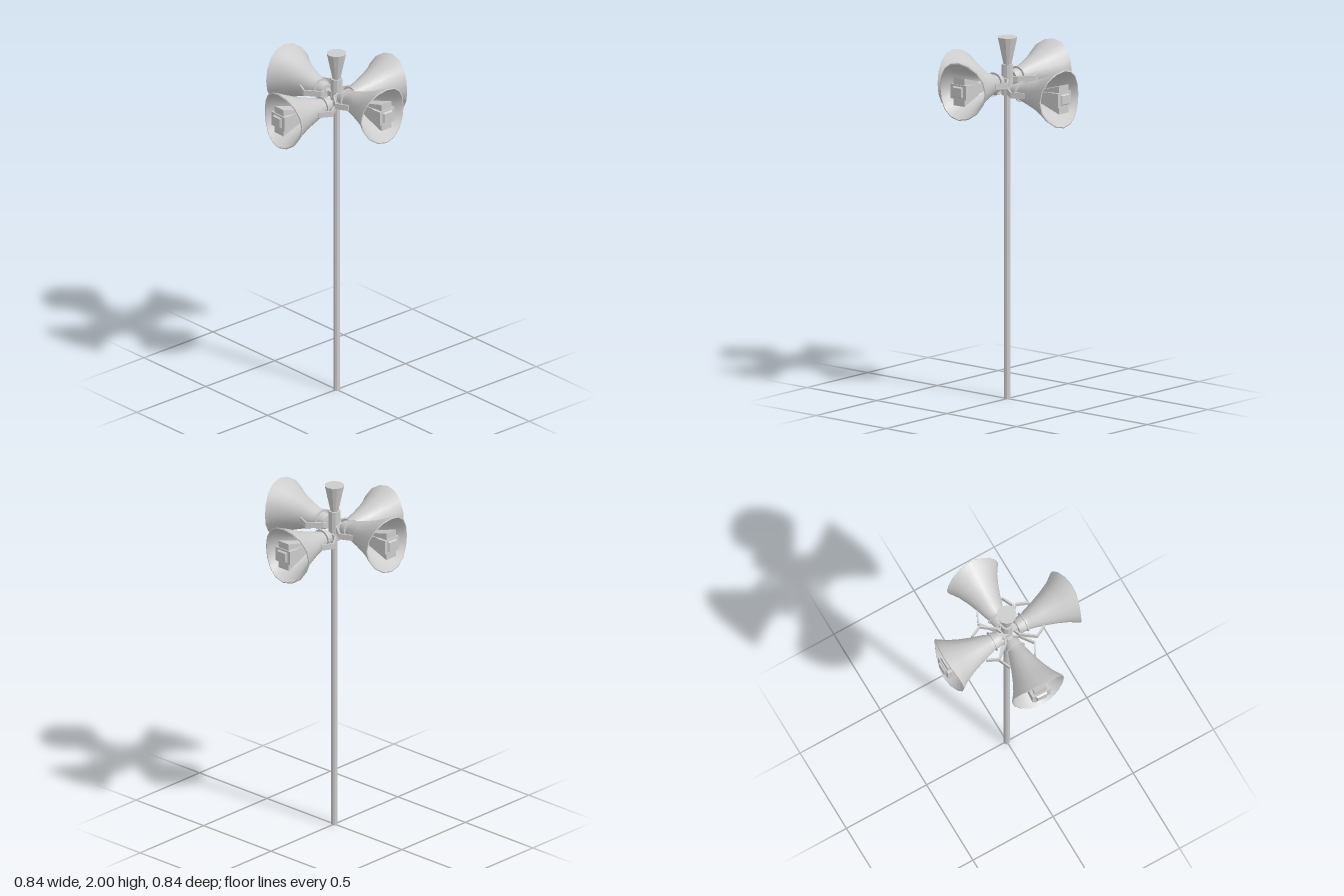
import * as THREE from 'three';
import { toCreasedNormals } from 'three/addons/utils/BufferGeometryUtils.js';

const grey = new THREE.MeshStandardMaterial({ color: 0xcccccc });

function part(name, geometry, crease = 0.6) {
  const mesh = new THREE.Mesh(toCreasedNormals(geometry, crease), grey);
  mesh.name = name;
  return mesh;
}

// Lathe a profile of [radius, z] points around the z axis
function lathe(profile, sides) {
  return new THREE.LatheGeometry(profile.map(([r, z]) => new THREE.Vector2(r, z)), sides)
    .rotateX(Math.PI / 2);
}

// Box running along z whose two ends have different half sizes
function taperedBox(z0, w0, h0, z1, w1, h1, shift0 = 0, shift1 = 0) {
  const g = new THREE.BoxGeometry(2, 2, 1);
  const p = g.attributes.position;
  for (let i = 0; i < p.count; i++) {
    const front = p.getZ(i) > 0;
    p.setXYZ(i, p.getX(i) * (front ? w1 : w0),
      p.getY(i) * (front ? h1 : h0) + (front ? shift1 : shift0), front ? z1 : z0);
  }
  g.computeVertexNormals();
  return g;
}

// Flat strap bent in the horizontal plane through [x, z] points
function strap(points, side) {
  const group = new THREE.Group();
  group.name = 'strap';
  for (let i = 1; i < points.length; i++) {
    const [x0, z0] = points[i - 1], [x1, z1] = points[i];
    const dx = (x1 - x0) * side, dz = z1 - z0;
    const bar = part('strapSegment',
      new THREE.BoxGeometry(0.009, 0.032, Math.hypot(dx, dz) + 0.006));
    bar.position.set(side * (x0 + x1) / 2, 0, (z0 + z1) / 2);
    bar.rotation.y = Math.atan2(dx, dz);
    group.add(bar);
  }
  return group;
}

function bellGeometry() {
  // Closed back, flaring outside, rim, then back down the inside
  const g = lathe([
    [0, 0.055], [0.038, 0.055], [0.046, 0.085], [0.046, 0.11], [0.054, 0.128],
    [0.076, 0.2], [0.098, 0.26], [0.124, 0.318], [0.143, 0.352], [0.16, 0.386],
    [0.154, 0.388], [0.137, 0.354], [0.118, 0.32], [0.092, 0.262],
    [0.07, 0.202], [0.045, 0.128], [0, 0.122],
  ], 16);
  // Saddle-shaped mouth: longer above and below, shorter at the sides
  const p = g.attributes.position;
  for (let i = 0; i < p.count; i++) {
    const x = p.getX(i), y = p.getY(i), z = p.getZ(i);
    const reach = Math.max(0, (z - 0.3) / 0.086) ** 2;
    const angle = Math.atan2(x, y);
    p.setZ(i, z + 0.017 * reach * Math.cos(2 * angle));
  }
  return g;
}

function createHorn(name) {
  const horn = new THREE.Group();
  horn.name = name;
  horn.add(part('bell', bellGeometry(), 0.7));
  horn.add(part('collarRing', lathe([
    [0.044, 0.098], [0.057, 0.098], [0.057, 0.104], [0.044, 0.104], [0.044, 0.098],
  ], 16)));

  // Central reflector: tapered stem, block with a stepped nose, flared lips
  horn.add(part('reflectorStem', taperedBox(0.12, 0.018, 0.016, 0.375, 0.044, 0.036)));
  horn.add(part('reflectorBlock', taperedBox(0.345, 0.052, 0.036, 0.408, 0.054, 0.04)));
  horn.add(part('reflectorNose', taperedBox(0.408, 0.034, 0.03, 0.419, 0.027, 0.024)));
  for (const s of [1, -1]) {
    horn.add(part('reflectorLip',
      taperedBox(0.26, 0.025, 0.012, 0.402, 0.038, 0.02, s * 0.025, s * 0.058)));
    horn.add(strap([[0.02, 0.034], [0.05, 0.046], [0.108, 0.12], [0.078, 0.183]], s));
  }
  // Short arm joining the horn to the pole
  horn.add(part('mountArm', new THREE.BoxGeometry(0.03, 0.03, 0.06).translate(0, 0, 0.035)));
  return horn;
}

export function createModel() {
  const model = new THREE.Group();
  model.name = 'hornLoudspeakerPole';

  // Pole, mounting sleeve and flared cap
  const pole = part('pole', new THREE.CylinderGeometry(0.018, 0.018, 1.87, 10));
  pole.position.y = 0.935;
  const sleeve = part('mountSleeve', new THREE.CylinderGeometry(0.032, 0.032, 0.17, 10));
  sleeve.position.y = 1.765;
  const cap = part('flaredCap', new THREE.CylinderGeometry(0.054, 0.02, 0.16, 12), 0.3);
  cap.position.y = 1.92;
  model.add(pole, sleeve, cap);

  // Four horns: name, heading in degrees, x offset, height
  const horns = [
    ['frontHorn', 1.8, -0.011, 1.762],
    ['backHorn', 180, -0.02, 1.762],
    ['leftHorn', 90, 0, 1.712],
    ['rightHorn', -92.7, 0, 1.712],
  ];
  for (const [name, heading, x, y] of horns) {
    const horn = createHorn(name);
    horn.position.set(x, y, 0);
    horn.rotation.y = THREE.MathUtils.degToRad(heading);
    model.add(horn);
  }
  return model;
}
